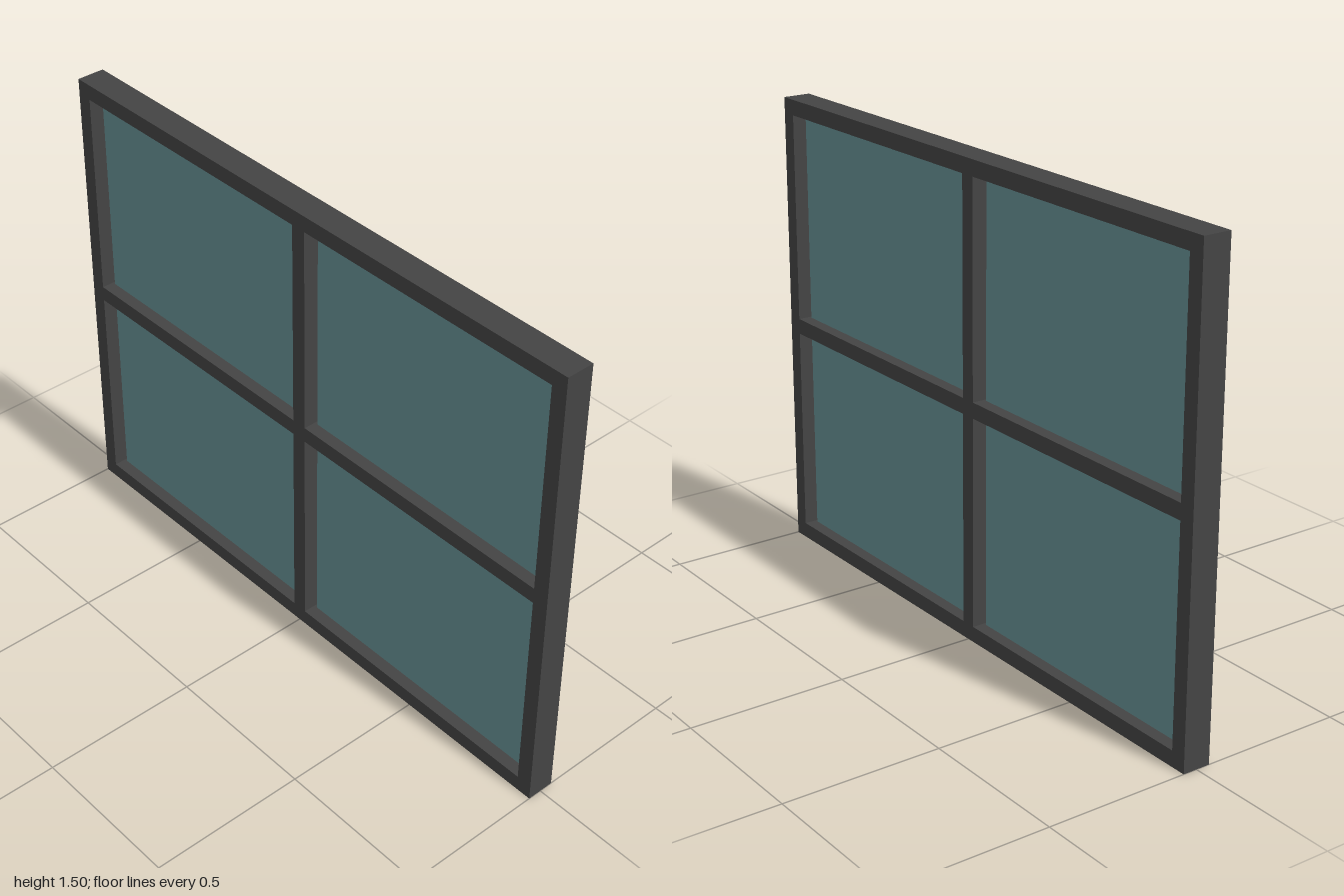
import * as THREE from 'three';

export function createModel() {
  const group = new THREE.Group();
  const frame = new THREE.MeshStandardMaterial({ name: 'charcoal frame', color: 0x444444 });
  const glass = new THREE.MeshStandardMaterial({ name: 'teal glass', color: 0x689296 });

  const height = 1.5, bar = 0.05, depth = 0.09;
  const inner = 2 - 2 * bar;
  const midY = height / 2;

  const addBox = (name, material, w, h, d, x, y) => {
    const mesh = new THREE.Mesh(new THREE.BoxGeometry(w, h, d), material);
    mesh.name = name;
    mesh.position.set(x, y, 0);
    group.add(mesh);
  };

  // Rails run between the full-height jambs
  addBox('bottomRail', frame, inner, bar, depth, 0, bar / 2);
  addBox('middleRail', frame, inner, bar, depth, 0, midY);
  addBox('topRail', frame, inner, bar, depth, 0, height - bar / 2);

  const openingH = (height - 3 * bar) / 2;
  const openingY = (openingH + bar) / 2;

  for (const [side, s] of [['left', 1], ['right', -1]]) {
    addBox(side + 'Jamb', frame, bar, height, depth, s * (1 - bar / 2), midY);
    // Panes leave a narrow gap beside the uprights
    for (const [level, v] of [['Upper', 1], ['Lower', -1]]) {
      addBox(side + level + 'Pane', glass, 0.904, openingH, 0.01, s * 0.488, midY + v * openingY);
    }
  }

  // Centre upright, split by the middle rail
  for (const [level, v] of [['upper', 1], ['lower', -1]]) {
    addBox(level + 'Mullion', frame, bar, openingH, depth, 0, midY + v * openingY);
  }
  return group;
}
